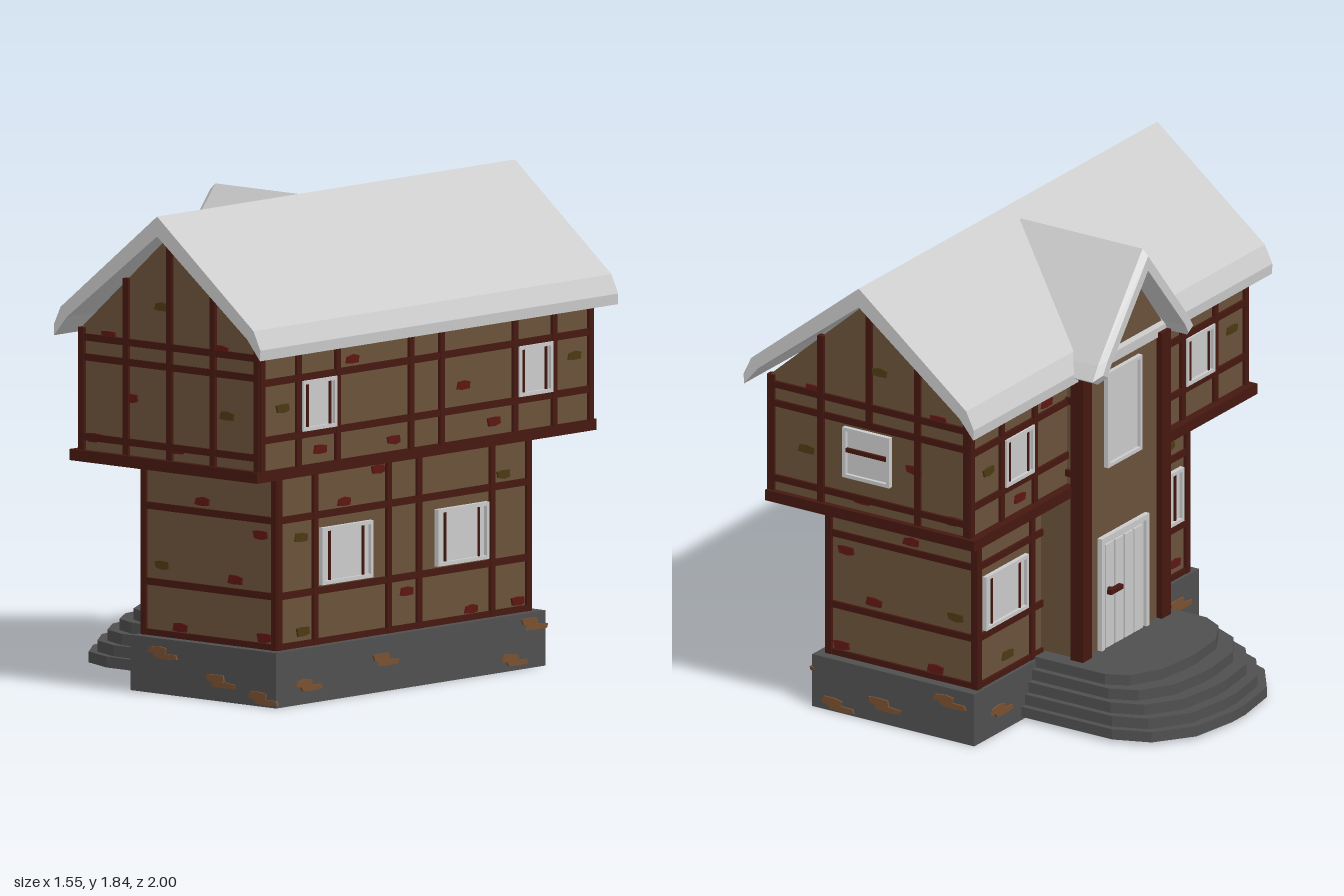
import * as THREE from 'three';

const paint = (color) => new THREE.MeshStandardMaterial({ color });
const GREY = paint(0xcccccc), WALL = paint(0x6b523b), TIMBER = paint(0x451810), STONE = paint(0x505050);
const RED = paint(0x5e1713), OLIVE = paint(0x4c3a14), OCHRE = paint(0x7a5030);

const RIDGE_X = 0.257;

export function createModel() {
  const house = new THREE.Group();
  house.name = 'timberHouse';

  const add = (parent, name, geo, mat) => {
    const m = new THREE.Mesh(geo, mat);
    m.name = name;
    parent.add(m);
    return m;
  };
  const box = (parent, name, mat, x0, x1, y0, y1, z0, z1) => {
    const m = add(parent, name, new THREE.BoxGeometry(x1 - x0, y1 - y0, z1 - z0), mat);
    m.position.set((x0 + x1) / 2, (y0 + y1) / 2, (z0 + z1) / 2);
    return m;
  };
  const prism = (pts, from, to) => {
    const shape = new THREE.Shape(pts.map(([x, y]) => new THREE.Vector2(x, y)));
    return new THREE.ExtrudeGeometry(shape, { depth: to - from, bevelEnabled: false }).translate(0, 0, from);
  };
  // Mirrors the right half of an outline about x = c
  const mirrored = (half, c) => [
    ...half.map(([x, y]) => [c + x, y]),
    ...half.filter(([x]) => x > 0).reverse().map(([x, y]) => [c - x, y]),
  ];

  // A facade is a local plane: x along the wall, y up, z outwards
  const facade = (name, angle, dist) => {
    const g = new THREE.Group();
    g.name = name;
    g.rotation.y = angle;
    g.position.set(Math.sin(angle) * dist, 0, Math.cos(angle) * dist);
    house.add(g);
    return g;
  };
  const post = (f, u, y0, y1, w = 0.026) => box(f, 'post', TIMBER, u - w / 2, u + w / 2, y0, y1, -0.012, 0.012);
  const rail = (f, y, u0, u1, h = 0.026) => box(f, 'rail', TIMBER, u0, u1, y - h / 2, y + h / 2, -0.012, 0.01);

  // Exposed bricks: irregular flat chips
  const chip = (f, u, y, mat, i, w = 0.072, h = 0.034) => {
    const s = i % 2 ? -1 : 1;
    const pts = [[-0.5, -0.4], [-0.1, -0.5], [0.45, -0.45], [0.5, 0.3], [0.1, 0.5], [-0.4, 0.3 + 0.1 * (i % 3)]];
    const outline = pts.map(([a, b]) => [a * w, b * h * s]);
    const m = add(f, 'exposedBrick', prism(outline, -0.005, 0.007), mat);
    m.position.set(u, y, 0);
  };
  const chips = (f, list) => list.forEach(([u, y, olive], i) => chip(f, u, y, olive ? OLIVE : RED, i));
  const stoneChips = (f, list) => list.forEach(([u, y], i) => {
    chip(f, u, y, OCHRE, i, 0.09, 0.03);
    chip(f, u + 0.04, y - 0.022, OCHRE, i + 1, 0.12, 0.022);
  });

  // Framed window with two inner bars
  const casement = (f, u, y0, y1, w, bars = true) => {
    const g = new THREE.Group();
    g.name = 'window';
    g.position.x = u;
    f.add(g);
    const t = 0.014, h = w / 2;
    box(g, 'pane', GREY, -h, h, y0, y1, -0.01, 0.005);
    for (const s of [-1, 1]) {
      box(g, 'frameSide', GREY, s * (h - t / 2) - t / 2, s * (h - t / 2) + t / 2, y0, y1, 0, 0.018);
      if (bars) box(g, 'bar', TIMBER, s * h * 0.66 - 0.004, s * h * 0.66 + 0.004, y0 + t, y1 - t, 0, 0.012);
    }
    box(g, 'frameBottom', GREY, -h, h, y0, y0 + t, 0, 0.018);
    box(g, 'frameTop', GREY, -h, h, y1 - t, y1, 0, 0.018);
  };

  // Main masses
  box(house, 'stoneBase', STONE, -0.095, 0.63, 0, 0.208, -0.753, 0.753);
  box(house, 'lowerWalls', WALL, -0.072, 0.588, 0.2, 0.89, -0.703, 0.703);
  const upper = [[0.444, 0.88], [0.444, 1.375], [0, 1.765]];
  add(house, 'upperWalls', prism(mirrored(upper, RIDGE_X), -0.923, 0.923), WALL);

  // Jetty beams around the overhanging floor
  for (const s of [-1, 1]) {
    box(house, 'jettyBeam', TIMBER, -0.225, 0.71, 0.873, 0.915, s * 0.93 - 0.018, s * 0.93 + 0.018);
    const x = s > 0 ? 0.692 : -0.207;
    box(house, 'jettyBeam', TIMBER, x - 0.018, x + 0.018, 0.873, 0.915, -0.945, 0.945);
  }

  // Main roof: chevron with turned-down eaves
  const roofHalf = [[0, 1.765], [0.45, 1.42], [0.513, 1.345], [0.515, 1.385], [0.481, 1.455], [0, 1.84]];
  const chevron = (half, c) => {
    const top = half[half.length - 1], under = half[0], mid = half.slice(1, -1);
    return [under, ...mid, top, ...mid.map(([x, y]) => [-x, y]).reverse()].map(([x, y]) => [c + x, y]);
  };
  add(house, 'mainRoof', prism(chevron(roofHalf, RIDGE_X), -1, 1), GREY);

  // Gable ends
  for (const s of [1, -1]) {
    const low = facade(s > 0 ? 'frontLower' : 'backLower', s > 0 ? 0 : Math.PI, 0.703);
    [-0.068, 0.584].forEach((x) => post(low, s * x, 0.205, 0.875));
    [0.218, 0.41, 0.695].forEach((y) => rail(low, y, Math.min(-s * 0.08, s * 0.595), Math.max(-s * 0.08, s * 0.595)));
    chips(low, [[0.22, 0.735], [0.51, 0.635], [0.385, 0.455], [0.02, 0.475, 1], [0.11, 0.25], [0.53, 0.25]]
      .map(([x, y, o]) => [s * x, y, o]));

    const up = facade(s > 0 ? 'frontUpper' : 'backUpper', s > 0 ? 0 : Math.PI, 0.923);
    [[-0.18, 1.375], [0.04, 1.58], [0.473, 1.58], [0.693, 1.375]].forEach(([x, y]) => post(up, s * x, 0.91, y));
    post(up, s * RIDGE_X, s > 0 ? 0.91 : 1.26, 1.755);
    [0.965, 1.265, 1.34].forEach((y) => rail(up, y, Math.min(-s * 0.19, s * 0.70), Math.max(-s * 0.19, s * 0.70)));
    chips(up, [[0.215, 1.49, 1], [-0.05, 1.355], [0.51, 1.355], [0.06, 1.13], [0.54, 1.11, 1], [-0.12, 0.965], [0.29, 0.96]]
      .map(([x, y, o]) => [s * x, y, o]));
    if (s < 0) {
      casement(up, -0.265, 1.04, 1.24, 0.21, false);
      rail(up, 1.15, -0.37, -0.16, 0.016).position.z = 0.006;
    }
    stoneChips(facade('baseEnd', s > 0 ? 0 : Math.PI, 0.753), [[s * 0.04, 0.165], [s * 0.33, 0.085], [s * 0.54, 0.04]]);
  }

  // Long sides; the one at -x leaves room for the entrance bay
  for (const s of [1, -1]) {
    const a = s * Math.PI / 2, bay = s < 0;
    const low = facade(bay ? 'entranceSideLower' : 'plainSideLower', a, bay ? 0.072 : 0.588);
    const lowPosts = bay ? [0.697, 0.34] : [0.697, 0.495, 0.085];
    lowPosts.forEach((u) => [-u, u].forEach((v) => post(low, v, 0.205, 0.875)));
    [0.218, 0.41, 0.695].forEach((y) => rail(low, y, -0.71, 0.71));
    [-1, 1].forEach((k) => casement(low, k * (bay ? 0.52 : 0.323), 0.43, 0.645, 0.285));
    chips(low, bay
      ? [[-0.6, 0.79], [0.58, 0.75, 1], [-0.5, 0.28, 1], [0.45, 0.33], [0.62, 0.27]]
      : [[-0.33, 0.73], [-0.14, 0.83], [-0.57, 0.62, 1], [0.56, 0.735, 1], [0.02, 0.355], [-0.56, 0.265, 1], [0.38, 0.25], [0.64, 0.25]]);

    const up = facade(bay ? 'entranceSideUpper' : 'plainSideUpper', a, bay ? 0.187 : 0.701);
    [0.918, 0.715, 0.495, 0.085].forEach((u) => [-u, u].forEach((v) => post(up, v, 0.91, 1.375)));
    [1.03, 1.245].forEach((y) => rail(up, y, -0.93, 0.93));
    [-1, 1].forEach((k) => casement(up, k * 0.604, 1.043, 1.233, 0.19));
    chips(up, [[-0.41, 1.285], [-0.8, 1.14, 1], [-0.59, 0.965], [-0.18, 0.955], [0.21, 1.12], [0.38, 0.965], [0.83, 1.165, 1]]
      .filter(([u]) => !bay || Math.abs(u) > 0.35));
    stoneChips(facade('baseSide', a, bay ? 0.095 : 0.63), bay
      ? [[-0.6, 0.1], [0.6, 0.12]] : [[-0.6, 0.08], [-0.17, 0.13], [0.55, 0.05], [0.66, 0.175]]);
  }

  // Entrance bay running up to its own gable
  const bayHalf = [[0.27, 0.2], [0.27, 1.4], [0, 1.74]];
  add(house, 'entranceBay', prism(mirrored(bayHalf, 0), -0.25, 0.1).rotateY(Math.PI / 2), WALL);
  for (const s of [-1, 1]) {
    box(house, 'entrancePost', TIMBER, -0.275, -0.22, 0.21, 1.365, s * 0.265 - 0.03, s * 0.265 + 0.03);
    [0.96, 1.25].forEach((y) => box(house, 'bayRail', TIMBER, -0.23, -0.15, y - 0.013, y + 0.013, s * 0.272 - 0.01, s * 0.272 + 0.01));
  }
  const porch = facade('entranceFace', -Math.PI / 2, 0.25);
  casement(porch, 0, 0.94, 1.32, 0.23, false);
  box(porch, 'doorPanel', GREY, -0.15, 0.15, 0.22, 0.66, -0.01, 0.006);
  for (let i = 0; i < 4; i++) box(porch, 'doorPlank', GREY, -0.125 + i * 0.064, -0.069 + i * 0.064, 0.22, 0.635, 0, 0.014);
  [-1, 1].forEach((s) => box(porch, 'doorFrame', GREY, s * 0.15 - 0.01, s * 0.15 + 0.01, 0.22, 0.67, -0.01, 0.02));
  box(porch, 'doorLintel', GREY, -0.16, 0.16, 0.65, 0.67, -0.01, 0.02);
  box(porch, 'doorHandle', TIMBER, -0.14, -0.06, 0.447, 0.465, 0.03, 0.05);
  box(porch, 'handleStem', TIMBER, -0.115, -0.1, 0.45, 0.462, 0, 0.04);

  // Entrance roof with a chamfered front edge
  const porchRoof = chevron([[0, 1.735], [0.275, 1.40], [0.3, 1.355], [0.335, 1.375], [0.3, 1.43], [0, 1.8]], 0);
  add(house, 'entranceRoof', prism(porchRoof, -0.345, 0.2).rotateY(Math.PI / 2), GREY);
  const edge = prism(porchRoof, -0.37, -0.345);
  const p = edge.attributes.position;
  for (let i = 0; i < p.count; i++) {
    if (p.getZ(i) < -0.36) p.setXY(i, p.getX(i) * 0.9, 1.578 + (p.getY(i) - 1.578) * 0.89);
  }
  edge.computeVertexNormals();
  add(house, 'entranceRoofEdge', edge.rotateY(Math.PI / 2), GREY);

  // Rounded entrance steps, each smaller than the one below
  const reach = [0.515, 0.48, 0.435, 0.38, 0.31], halfWidth = [0.435, 0.413, 0.39, 0.365, 0.34];
  reach.forEach((r, i) => {
    const w = halfWidth[i];
    const arc = [[1, 0.1], [0.94, 0.54], [0.735, 0.87], [0.465, 1]].map(([a, b]) => [-0.26 - a * r, b * w]);
    const outline = [...arc, [-0.09, w], [-0.09, -w], ...arc.map(([x, z]) => [x, -z]).reverse()];
    const y0 = i ? 0.01 + i * 0.042 : 0.012;
    const lower = i ? y0 - 0.02 : y0;
    add(house, 'step', prism(outline, lower, 0.053 + i * 0.042).rotateX(-Math.PI / 2), STONE);
  });

  return house;
}
